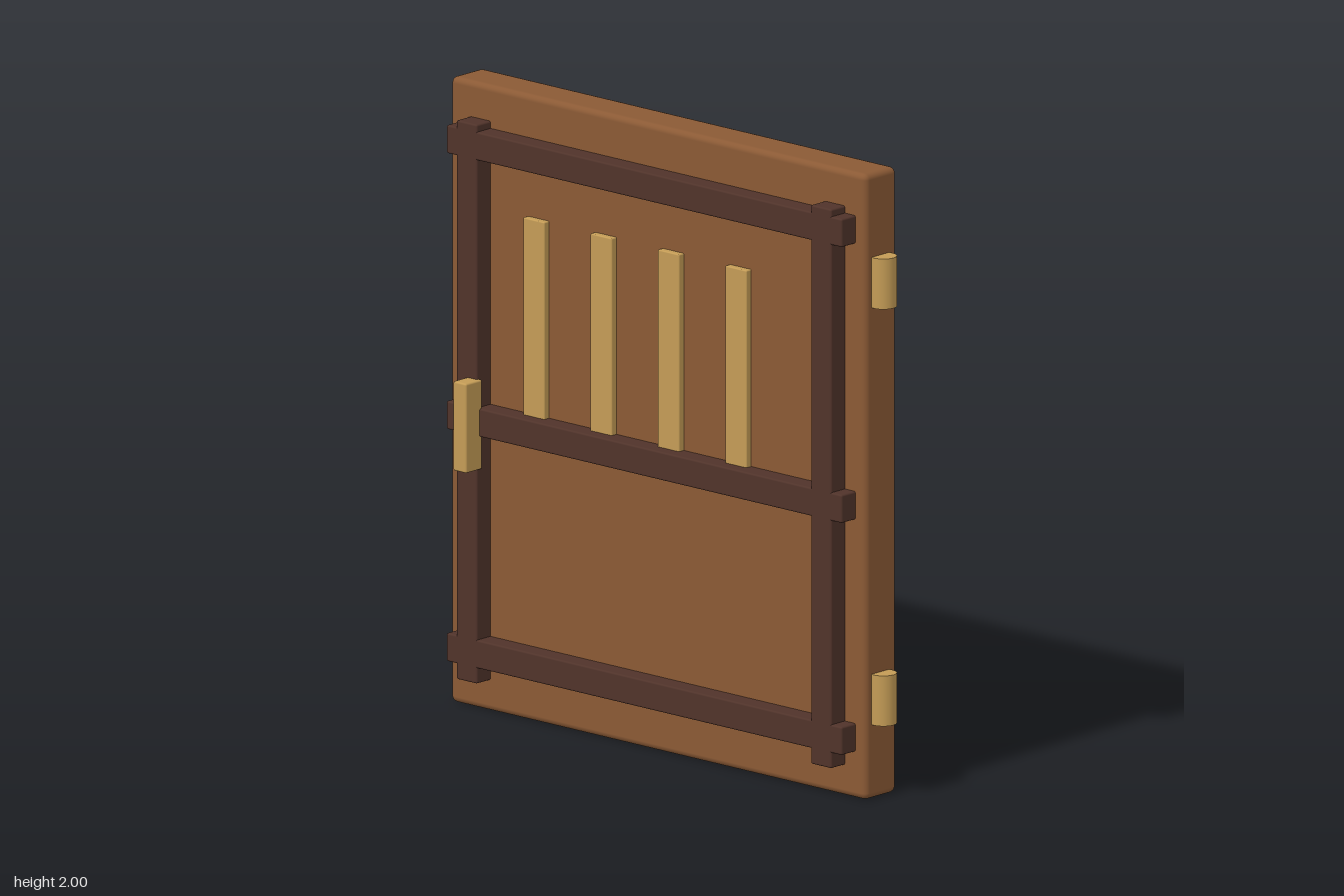
import * as THREE from 'three';
import { RoundedBoxGeometry } from 'three/addons/geometries/RoundedBoxGeometry.js';

export function createModel() {
  const model = new THREE.Group();
  model.name = 'door';

  const wood = new THREE.MeshStandardMaterial({ color: 0x8b5a35 });
  const darkWood = new THREE.MeshStandardMaterial({ color: 0x50332a });
  const brass = new THREE.MeshStandardMaterial({ color: 0xc49c56 });

  // Softly bevelled box given by its extents on each axis
  function block(name, [x0, x1], [y0, y1], [z0, z1], bevel, material) {
    const geometry = new RoundedBoxGeometry(x1 - x0, y1 - y0, z1 - z0, 2, bevel);
    const mesh = new THREE.Mesh(geometry, material);
    mesh.position.set((x0 + x1) / 2, (y0 + y1) / 2, (z0 + z1) / 2);
    mesh.name = name;
    model.add(mesh);
  }

  // Door leaf
  block('panel', [-0.897, 0.842], [0, 2], [-0.135, 0.01], 0.02, wood);

  // Raised frame: two uprights crossed by three rails
  const frameZ = [0, 0.073];
  for (const x of [-0.77, 0.713]) {
    block('upright', [x - 0.043, x + 0.043], [0.1, 1.887], frameZ, 0.006, darkWood);
  }
  for (const y of [0.195, 0.937, 1.819]) {
    block('rail', [-0.855, 0.8], [y - 0.045, y + 0.045], frameZ, 0.006, darkWood);
  }

  // Upper slats, standing on the middle rail
  for (let i = 0; i < 4; i++) {
    const x = -0.527 + i * 0.282;
    block('slat', [x - 0.045, x + 0.045], [0.96, 1.612], [0, 0.032], 0.004, brass);
  }

  // Handle on the opening side
  block('handle', [-0.77, -0.715], [0.787, 1.073], [0.06, 0.135], 0.006, brass);

  // Hinge barrels, partly sunk into the edge
  for (const y of [0.319, 1.652]) {
    const hinge = new THREE.Mesh(new THREE.CylinderGeometry(0.042, 0.042, 0.161, 16), brass);
    hinge.position.set(0.855, y, -0.058);
    hinge.name = 'hinge';
    model.add(hinge);
  }

  return model;
}
